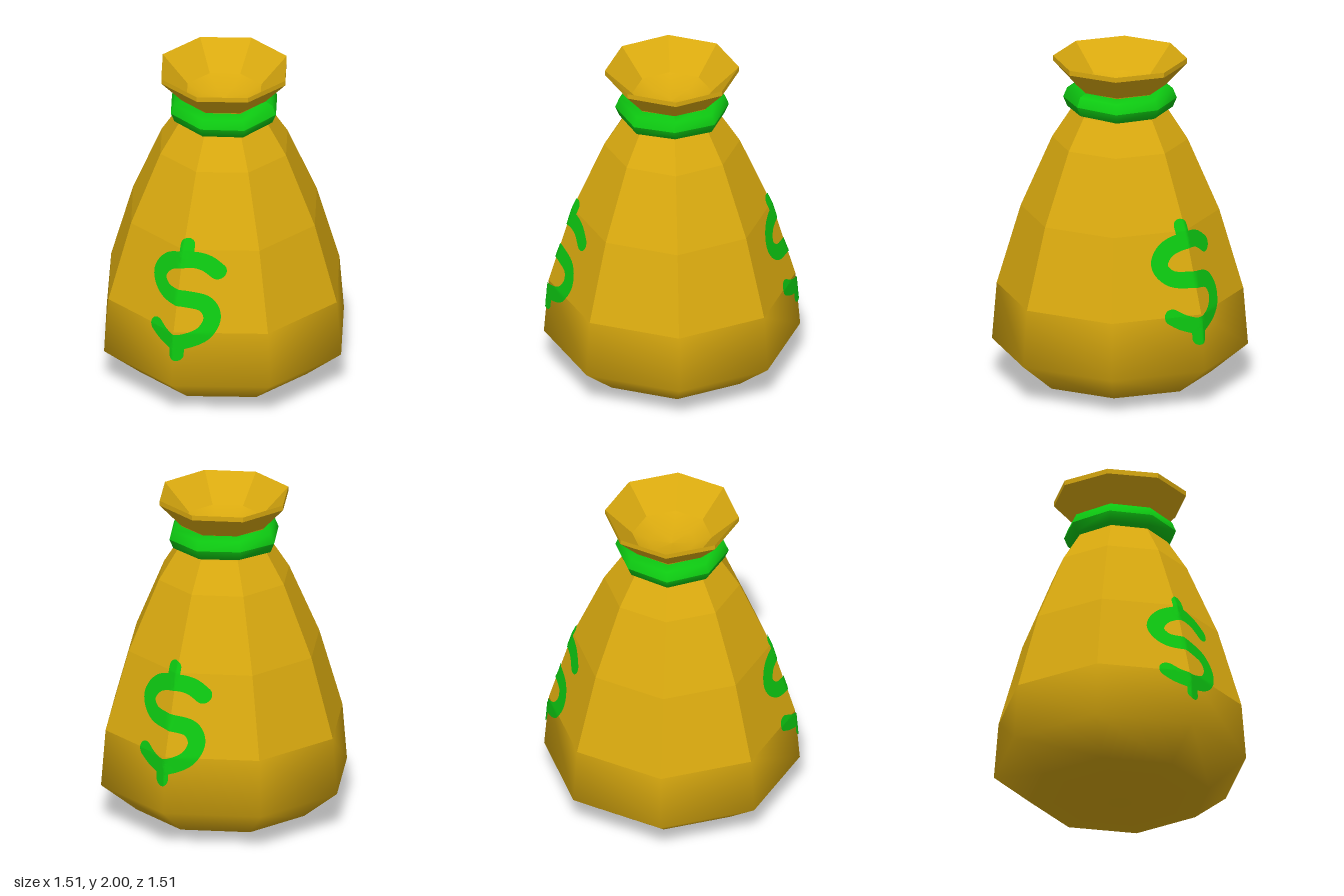
import * as THREE from 'three';

const SIDES = 8;

// Sack silhouette as [radius, height]
const BASE = [[0, 0.005], [0.535, 0.06], [0.755, 0.24], [0.727, 0.585]];
const UPPER = [[0.727, 0.585], [0.585, 1.07], [0.4, 1.5], [0.285, 1.68], [0.25, 1.76]];
const COLLAR = [[0.235, 1.74], [0.265, 1.83], [0.395, 1.97], [0.395, 2.0], [0.32, 1.925], [0.235, 1.84]];
const POCKET = [[0.235, 1.84], [0.14, 1.795], [0, 1.78]];

// Octagonal body of revolution, faceted or smooth
function octagon(points, faceted) {
  const lathe = new THREE.LatheGeometry(points.map(([r, y]) => new THREE.Vector2(r, y)), SIDES);
  if (!faceted) return lathe;
  const flat = lathe.toNonIndexed();
  flat.computeVertexNormals();
  return flat;
}

// Corner radius of the sack at a height
function radiusAt(y) {
  const profile = [...BASE, ...UPPER.slice(1)];
  const i = Math.max(1, profile.findIndex(p => p[1] >= y));
  const [r0, y0] = profile[i - 1], [r1, y1] = profile[i];
  return THREE.MathUtils.lerp(r0, r1, (y - y0) / (y1 - y0));
}

// Lay flat geometry onto the two sack panels that meet at the front ridge
function drape(geometry, shift) {
  const p = geometry.attributes.position;
  const slope = Math.tan(Math.PI / SIDES);
  for (let i = 0; i < p.count; i++) {
    const x = p.getX(i) + shift, y = p.getY(i);
    p.setXYZ(i, x, y, radiusAt(y) - slope * Math.abs(x) + 0.007);
  }
  geometry.computeVertexNormals();
  return geometry;
}

// Painted stroke with round ends that follows a curve
function stroke(points, width, shift, material) {
  const group = new THREE.Group();
  const curve = new THREE.SplineCurve(points.map(([x, y]) => new THREE.Vector2(x, y)));
  const ribbon = new THREE.PlaneGeometry(1, 1, 10, 70);
  const p = ribbon.attributes.position;
  for (let i = 0; i < p.count; i++) {
    const t = THREE.MathUtils.clamp(p.getY(i) + 0.5, 0, 1);
    const c = curve.getPoint(t), d = curve.getTangent(t), across = p.getX(i) * width;
    p.setXY(i, c.x + d.y * across, c.y - d.x * across);
  }
  group.add(new THREE.Mesh(drape(ribbon, shift), material));
  for (const [x, y] of [points[0], points[points.length - 1]]) {
    const cap = new THREE.RingGeometry(0, width / 2, 24, 6).translate(x, y, 0);
    group.add(new THREE.Mesh(drape(cap, shift), material));
  }
  group.children.forEach(mesh => { mesh.name = 'paintedStroke'; });
  return group;
}

// Painted currency emblem: one double curve and two short stems
function emblem(shift, material) {
  const group = new THREE.Group();
  const bends = [
    [0.185, 0.95], [0.11, 1.0], [0.01, 1.015], [-0.11, 0.975], [-0.168, 0.885], [-0.11, 0.805],
    [0.03, 0.785], [0.14, 0.755], [0.183, 0.67], [0.135, 0.575], [0.01, 0.525], [-0.08, 0.545], [-0.145, 0.585],
  ];
  group.add(
    stroke(bends, 0.095, shift, material),
    stroke([[0, 1.02], [0, 1.06], [0, 1.097]], 0.085, shift, material),
    stroke([[0, 0.52], [0, 0.48], [0, 0.447]], 0.085, shift, material),
  );
  return group;
}

export function createModel() {
  const cloth = new THREE.MeshStandardMaterial({ color: 0xdaaa0f });
  cloth.name = 'goldCloth';
  const green = new THREE.MeshStandardMaterial({ color: 0x0dc811 });
  green.name = 'green';

  const model = new THREE.Group();
  model.name = 'tiedSack';
  const add = (name, geometry, material) => {
    const mesh = new THREE.Mesh(geometry, material);
    mesh.name = name;
    model.add(mesh);
    return mesh;
  };

  // Soft bottom, faceted body, flared collar and its sunken inside
  add('sackBase', octagon(BASE, false), cloth);
  add('sackBody', octagon(UPPER, true), cloth);
  add('flaredCollar', octagon(COLLAR, true), cloth);
  add('collarPocket', octagon(POCKET, false), cloth);

  // Cord tied round the neck, slightly uneven
  const cord = new THREE.TorusGeometry(0.255, 0.08, 8, SIDES).rotateX(Math.PI / 2);
  const p = cord.attributes.position;
  for (let i = 0; i < p.count; i++) {
    const angle = Math.atan2(p.getZ(i), p.getX(i));
    p.setY(i, p.getY(i) + 0.006 * Math.cos(3 * angle));
  }
  cord.computeVertexNormals();
  add('neckCord', cord.translate(0, 1.752, 0), green);

  // Emblem on the front and back ridges
  const front = emblem(0.02, green);
  front.name = 'frontEmblem';
  const back = emblem(-0.02, green);
  back.name = 'backEmblem';
  back.rotation.y = Math.PI;
  model.add(front, back);

  return model;
}
